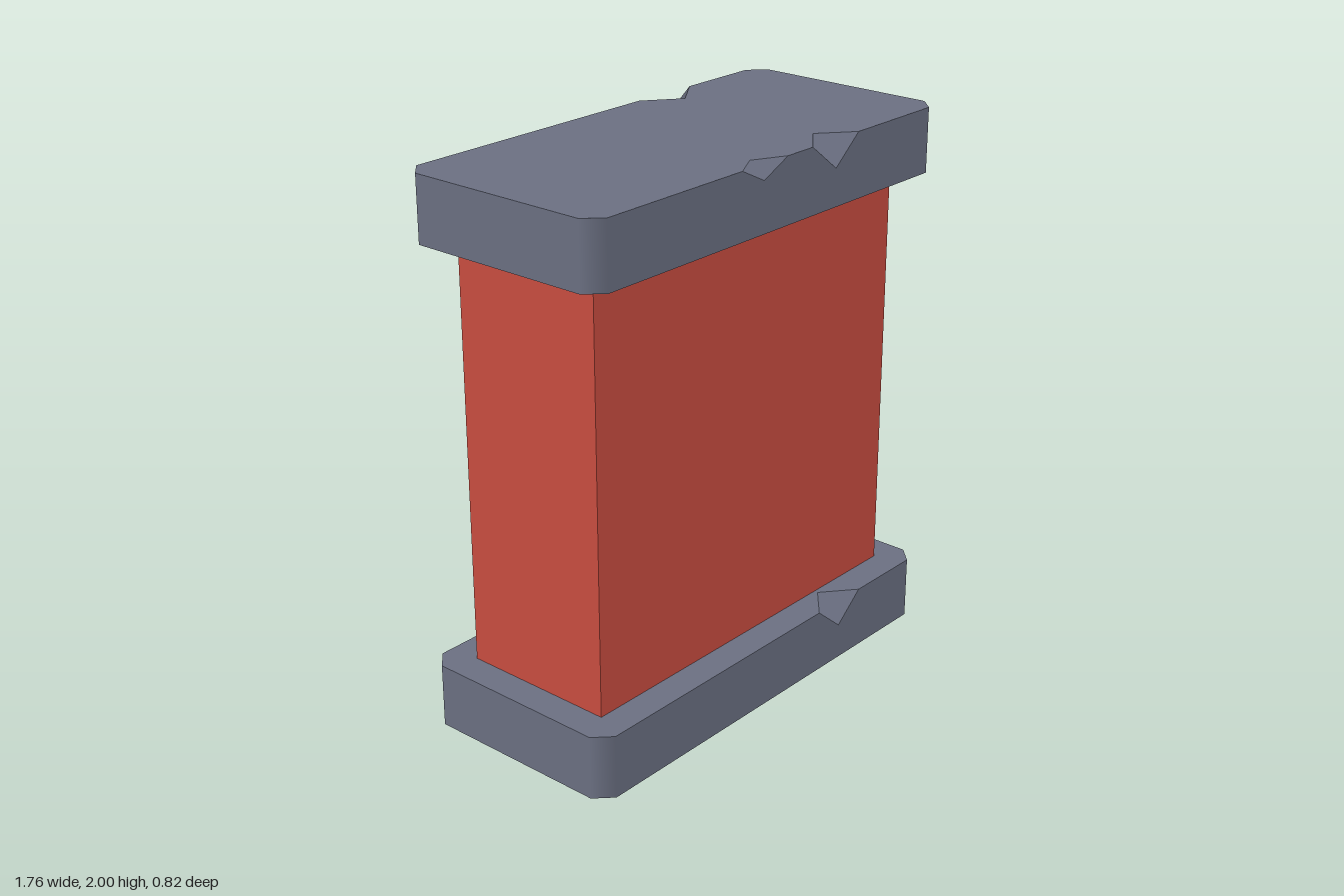
import * as THREE from 'three';
import { mergeGeometries } from 'three/addons/utils/BufferGeometryUtils.js';

const W = 0.88, D = 0.41, H = 0.235, C = 0.06; // slab half width, half depth, height, corner cut
const X = W - C, Z = D - C;

// Four corners (counter-clockwise) with a normal for each
function quad(corners, normals) {
  const g = new THREE.BufferGeometry();
  g.setAttribute('position', new THREE.Float32BufferAttribute(corners.flat(), 3));
  g.setAttribute('normal', new THREE.Float32BufferAttribute(normals.flat(), 3));
  g.setIndex([0, 1, 2, 0, 2, 3]);
  return g;
}

function flatShape(points) {
  const g = new THREE.ShapeGeometry(new THREE.Shape(points.map(p => new THREE.Vector2(...p))));
  g.deleteAttribute('uv');
  return g;
}

// Upright strip between two floor points, with a normal at each end
function strip([x1, z1], [x2, z2], n1, n2) {
  return quad([[x1, 0, z1], [x2, 0, z2], [x2, H, z2], [x1, H, z1]], [n1, n2, n2, n1]);
}

// Half a slab: front wall, right end, and half of the top and bottom.
// Chips are listed left to right as [x1, xMiddle, x2, depth, drop]
function halfSlab(chips) {
  const outline = list => [
    [-W, 0], [-W, -Z], [-X, -D],
    ...list.flatMap(([a, m, b, d]) => [[a, -D], [m, d - D], [b, -D]]),
    [X, -D], [W, -Z], [W, 0]
  ];
  const wall = [
    [X, H], [X, 0], [-X, 0], [-X, H],
    ...chips.flatMap(([a, m, b, , drop]) => [[a, H], [m, H - drop], [b, H]])
  ];
  const front = [0, 0, 1], side = [1, 0, 0], back = [0, 0, -1];
  const slope = [0, Math.SQRT1_2, Math.SQRT1_2];
  return [
    flatShape(outline(chips)).rotateX(-Math.PI / 2).translate(0, H, 0),
    flatShape(outline([])).rotateX(Math.PI / 2),
    flatShape(wall).translate(0, 0, D),
    strip([X, D], [W, Z], front, side),
    strip([W, Z], [W, -Z], side, side),
    strip([W, -Z], [X, -D], side, back),
    ...chips.map(([a, m, b, d, drop]) => quad(
      [[m, H - drop, D], [b, H, D], [m, H, D - d], [a, H, D]],
      [slope, slope, slope, slope]))
  ];
}

function slab(name, y, frontChips, backChips, material) {
  const rear = halfSlab(backChips).map(g => g.rotateY(Math.PI));
  const mesh = new THREE.Mesh(mergeGeometries([...halfSlab(frontChips), ...rear]), material);
  mesh.name = name;
  mesh.position.y = y;
  return mesh;
}

export function createModel() {
  const stone = new THREE.MeshStandardMaterial({ color: 0x6b7082 });
  stone.name = 'grey stone';
  const red = new THREE.MeshStandardMaterial({ color: 0xca4d40 });
  red.name = 'red wall';

  const group = new THREE.Group();
  group.name = 'wallSegment';

  // Plain wall between the two slabs
  const wall = new THREE.Mesh(new THREE.BoxGeometry(1.53, 2 - 2 * H, 0.59), red);
  wall.name = 'wall';
  wall.position.y = 1;
  group.add(wall);

  // Chipped stone slabs; back chips are given as seen from behind
  group.add(slab('baseSlab', 0,
    [[0.27, 0.39, 0.51, 0.1, 0.1]],
    [[-0.08, 0.11, 0.30, 0.1, 0.1]], stone));
  group.add(slab('topSlab', 2 - H,
    [[-0.2, -0.09, 0.03, 0.06, 0.055], [0.16, 0.29, 0.41, 0.1, 0.1]],
    [[-0.5, -0.36, -0.23, 0.1, 0.095]], stone));
  return group;
}
